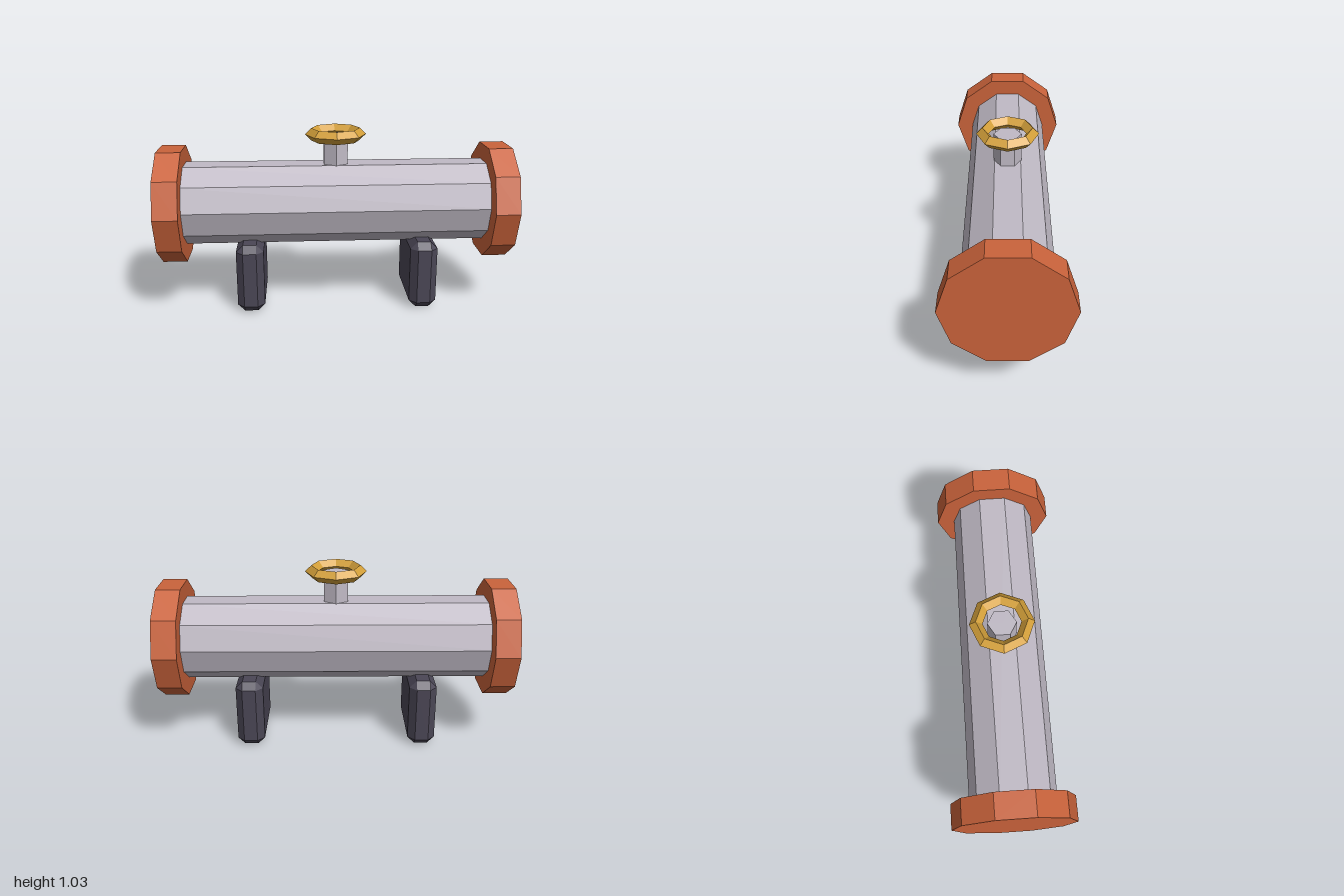
import * as THREE from 'three';
import { ConvexGeometry } from 'three/addons/geometries/ConvexGeometry.js';

function material(name, color) {
  const m = new THREE.MeshStandardMaterial({ color, flatShading: true });
  m.name = name;
  return m;
}

// Box whose edges and corners are cut off by a single bevel
function chamferedBox(w, h, d, bevel) {
  const points = [];
  const half = [w / 2, h / 2, d / 2];
  for (const sx of [-1, 1]) for (const sy of [-1, 1]) for (const sz of [-1, 1]) {
    for (let axis = 0; axis < 3; axis++) {
      const [x, y, z] = half.map((v, i) => (i === axis ? v : v - bevel));
      points.push(new THREE.Vector3(sx * x, sy * y, sz * z));
    }
  }
  return new ConvexGeometry(points);
}

export function createModel() {
  const model = new THREE.Group();
  model.name = 'valvePipe';

  const steel = material('paleSteel', 0xc0bac5);
  const copper = material('copperOrange', 0xca633b);
  const brass = material('brass', 0xd4a03a);
  const dark = material('darkIron', 0x4a4655);

  const add = (name, geometry, mat, x, y, z) => {
    const mesh = new THREE.Mesh(geometry, mat);
    mesh.name = name;
    mesh.position.set(x, y, z);
    model.add(mesh);
    return mesh;
  };

  const axisY = 0.597;

  // Ten-sided pipe along x
  add('pipe', new THREE.CylinderGeometry(0.237, 0.237, 1.8, 10).rotateZ(Math.PI / 2), steel, 0, axisY + 0.003, 0);

  // End flanges and feet, mirrored left and right
  for (const [side, s] of [['left', 1], ['right', -1]]) {
    add(side + 'Flange', new THREE.CylinderGeometry(0.337, 0.337, 0.138, 10).rotateZ(Math.PI / 2), copper, s * 0.931, axisY, 0);
    add(side + 'Foot', chamferedBox(0.156, 0.4, 0.475, 0.04), dark, s * 0.497, 0.2, 0);
  }

  // Valve stem and handwheel
  add('valveStem', new THREE.CylinderGeometry(0.078, 0.078, 0.2, 6), steel, 0, 0.89, 0);
  add('handwheel', new THREE.TorusGeometry(0.138, 0.0355, 4, 8).rotateX(Math.PI / 2), brass, 0, 0.992, 0);

  return model;
}
